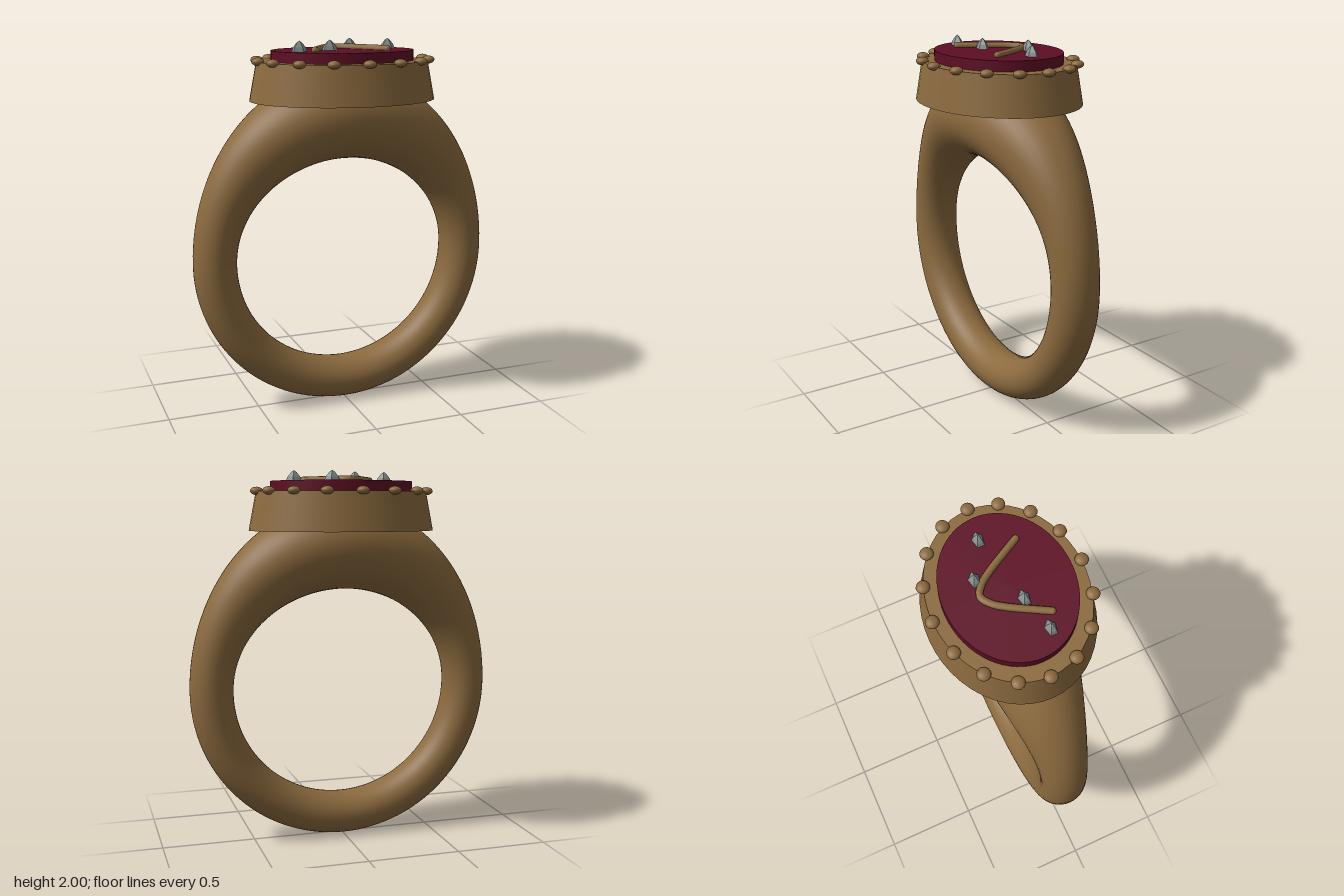
import * as THREE from 'three';

const gold = new THREE.MeshStandardMaterial({ color: 0x8b6a3e });
gold.name = 'antique gold';
const garnet = new THREE.MeshStandardMaterial({ color: 0x5e0e24 });
garnet.name = 'garnet red';
const steel = new THREE.MeshStandardMaterial({ color: 0x87928f });
steel.name = 'grey steel';

function add(parent, name, geometry, material, x = 0, y = 0, z = 0) {
  const mesh = new THREE.Mesh(geometry, material);
  mesh.name = name;
  mesh.position.set(x, y, z);
  parent.add(mesh);
  return mesh;
}

// Closed loop of elliptical sections that swell towards the top
function bandGeometry() {
  const around = 112, sides = 36, centerY = 0.837;
  const positions = [], indices = [];
  for (let i = 0; i < around; i++) {
    const t = (i / around) * Math.PI * 2;
    const c = Math.cos(t), s = Math.sin(t);
    const up = Math.max(s, 0);
    const inner = new THREE.Vector2(0.605 * c, (s > 0 ? 0.535 : 0.603) * s);
    const outer = new THREE.Vector2(0.836 * c, (s > 0 ? 1.0 : 0.836) * s);
    const mid = inner.clone().add(outer).multiplyScalar(0.5);
    const half = outer.clone().sub(inner).multiplyScalar(0.5);
    const width = 0.125 + 0.14 * Math.pow(up, 2.7);
    for (let j = 0; j < sides; j++) {
      const a = (j / sides) * Math.PI * 2;
      positions.push(mid.x + half.x * Math.cos(a), centerY + mid.y + half.y * Math.cos(a), width * Math.sin(a));
      const i2 = (i + 1) % around, j2 = (j + 1) % sides;
      const p = i * sides + j, q = i2 * sides + j, r = i2 * sides + j2, u = i * sides + j2;
      indices.push(p, q, u, q, r, u);
    }
  }
  const g = new THREE.BufferGeometry();
  g.setAttribute('position', new THREE.Float32BufferAttribute(positions, 3));
  g.setIndex(indices);
  g.computeVertexNormals();
  return g;
}

// Faceted spike, pointed towards +x in plan
function spikeGeometry() {
  const profile = [[1, 0], [0.8, 0.4], [0.35, 0.82], [0, 1]].map(([x, y]) => new THREE.Vector2(x, y));
  const g = new THREE.LatheGeometry(profile, 5).rotateY(Math.PI / 2).scale(0.045, 0.057, 0.03).toNonIndexed();
  g.computeVertexNormals();
  return g;
}

export function createModel() {
  const ring = new THREE.Group();
  ring.name = 'signetRing';

  add(ring, 'band', bandGeometry(), gold);

  // Oval setting and stone
  add(ring, 'bezel', new THREE.CylinderGeometry(0.92, 1, 0.205, 48).scale(0.502, 1, 0.412), gold, 0, 1.788, 0);
  add(ring, 'stone', new THREE.CylinderGeometry(1, 1, 0.065, 64).scale(0.385, 1, 0.315), garnet, 0, 1.9125, 0);

  // Beads around the rim
  const beads = new THREE.Group();
  beads.name = 'rimBeads';
  ring.add(beads);
  const beadGeometry = new THREE.SphereGeometry(0.034, 14, 10).scale(1, 0.62, 1);
  for (let i = 0; i < 16; i++) {
    const a = (i / 16) * Math.PI * 2;
    add(beads, 'bead', beadGeometry, gold, 0.464 * Math.cos(a), 1.893, 0.38 * Math.sin(a));
  }

  // Raised chevron on the stone
  const chevron = new THREE.Group();
  chevron.name = 'chevron';
  ring.add(chevron);
  const path = new THREE.CatmullRomCurve3(
    [[-0.2, 0.13], [-0.09, -0.06], [-0.05, -0.11], [0, -0.14], [0.05, -0.11], [0.09, -0.06], [0.2, 0.13]]
      .map(([x, z]) => new THREE.Vector3(x, 1.953, z)));
  add(chevron, 'chevronBar', new THREE.TubeGeometry(path, 40, 0.018, 10), gold);
  for (const x of [-0.2, 0.2]) {
    add(chevron, 'chevronEnd', new THREE.SphereGeometry(0.018, 10, 8), gold, x, 1.953, 0.13);
  }

  // Four spikes beside the chevron
  const spike = spikeGeometry();
  for (const [x, z] of [[-0.27, 0.09], [-0.088, 0.042], [0.088, -0.128], [0.268, -0.03]]) {
    add(ring, 'spike', spike, steel, x, 1.943, z);
  }
  return ring;
}
